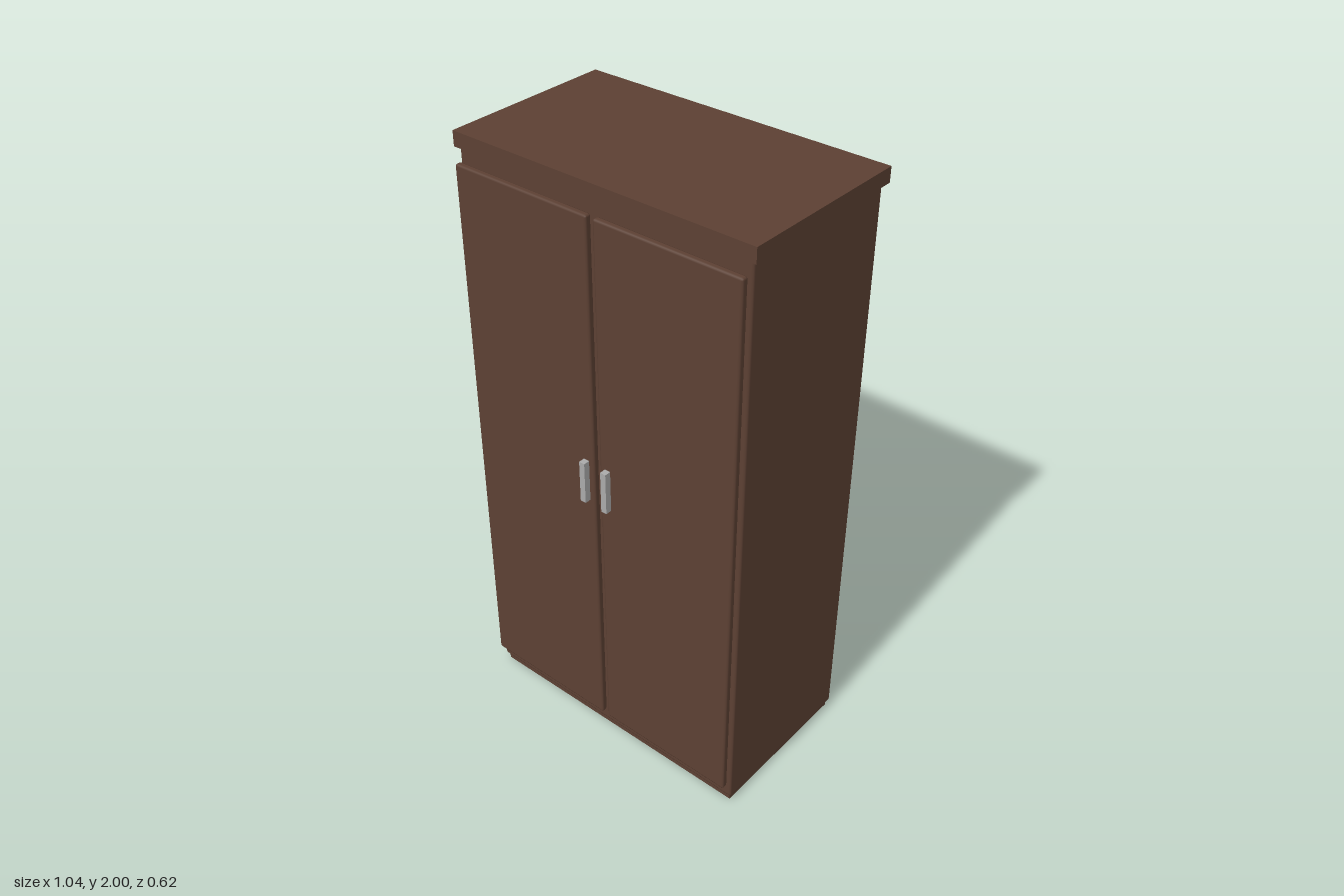
import * as THREE from 'three';
import { RoundedBoxGeometry } from 'three/addons/geometries/RoundedBoxGeometry.js';

export function createModel() {
  const wood = new THREE.MeshStandardMaterial({ color: 0x5c4033 });
  wood.name = 'darkWood';
  const metal = new THREE.MeshStandardMaterial({ color: 0xaaaaaa });
  metal.name = 'handleMetal';

  const wardrobe = new THREE.Group();
  wardrobe.name = 'wardrobe';

  // Adds a box given its [min, max] range per axis, optionally with eased edges
  function addBox(name, [x0, x1], [y0, y1], [z0, z1], material, bevel = 0) {
    const size = [x1 - x0, y1 - y0, z1 - z0];
    const geometry = bevel
      ? new RoundedBoxGeometry(...size, 1, bevel)
      : new THREE.BoxGeometry(...size);
    const mesh = new THREE.Mesh(geometry, material);
    mesh.name = name;
    mesh.position.set((x0 + x1) / 2, (y0 + y1) / 2, (z0 + z1) / 2);
    wardrobe.add(mesh);
  }

  // Carcass
  addBox('plinth', [-0.495, 0.495], [0, 0.04], [-0.287, 0.248], wood);
  addBox('cabinetBody', [-0.505, 0.505], [0.025, 1.957], [-0.297, 0.258], wood, 0.007);
  addBox('topSlab', [-0.518, 0.518], [1.953, 2], [-0.31, 0.267], wood);

  // Mirrored doors and handles
  for (const [side, s] of [['left', 1], ['right', -1]]) {
    const span = (a, b) => (s > 0 ? [a, b] : [-b, -a]);
    addBox(side + 'Door', span(0.011, 0.497), [0.084, 1.916], [0.267, 0.289], wood, 0.007);
    addBox(side + 'Handle', span(0.031, 0.051), [0.98, 1.123], [0.289, 0.31], metal);
  }

  return wardrobe;
}
